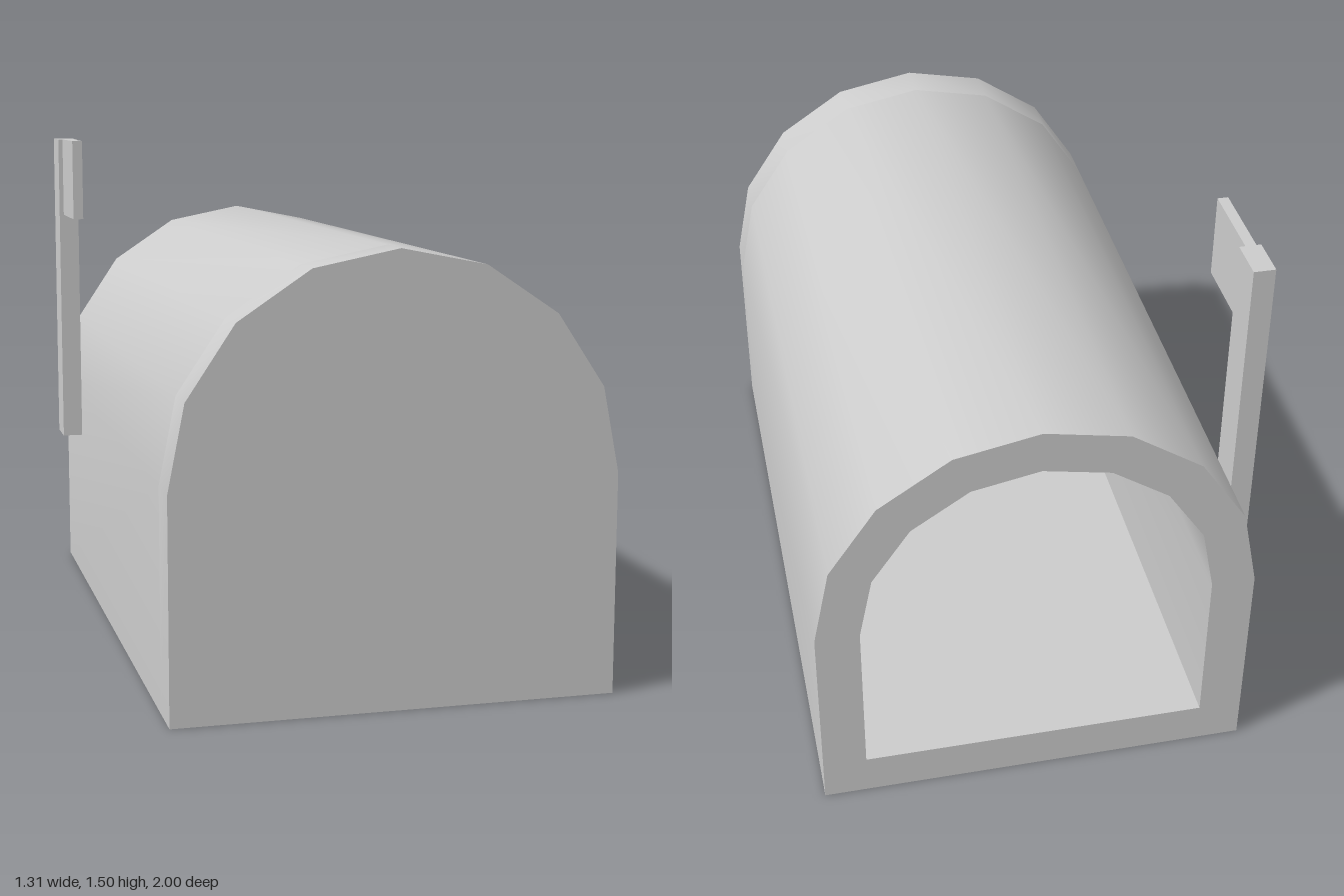
import * as THREE from 'three';
import { toCreasedNormals } from 'three/addons/utils/BufferGeometryUtils.js';

const R = 0.625;      // outer arch radius and wall height
const WALL = 0.125;   // shell thickness
const BODY_X = 0.03125;

// Outline of a box with a faceted half-round top
function archPoints(radius, bottom) {
  const pts = [new THREE.Vector2(-radius, bottom), new THREE.Vector2(radius, bottom)];
  for (let i = 0; i <= 8; i++) {
    const a = (i / 8) * Math.PI;
    pts.push(new THREE.Vector2(radius * Math.cos(a), R + radius * Math.sin(a)));
  }
  return pts;
}

export function createModel() {
  const group = new THREE.Group();
  const material = new THREE.MeshStandardMaterial({ color: 0xcccccc });

  const add = (name, geometry, x, y, z) => {
    const mesh = new THREE.Mesh(geometry, material);
    mesh.name = name;
    mesh.position.set(x, y, z);
    group.add(mesh);
  };
  const extrude = (shape, depth) =>
    toCreasedNormals(new THREE.ExtrudeGeometry(shape, { depth, bevelEnabled: false }), 0.6);

  // Hollow shell, open at the back
  const shell = new THREE.Shape(archPoints(R, 0));
  shell.holes.push(new THREE.Path(archPoints(R - WALL, WALL)));
  add('shell', extrude(shell, 2 - WALL), BODY_X, 0, -1);

  // Closed front end
  add('frontPanel', extrude(new THREE.Shape(archPoints(R, 0)), WALL), BODY_X, 0, 1 - WALL);

  // Signal flag on the side
  add('flagPost', new THREE.BoxGeometry(0.0625, 1, 0.125), -0.625, 1, -0.6875);
  add('flag', new THREE.BoxGeometry(0.03125, 0.25, 0.25), -0.627, 1.375, -0.5);

  return group;
}
